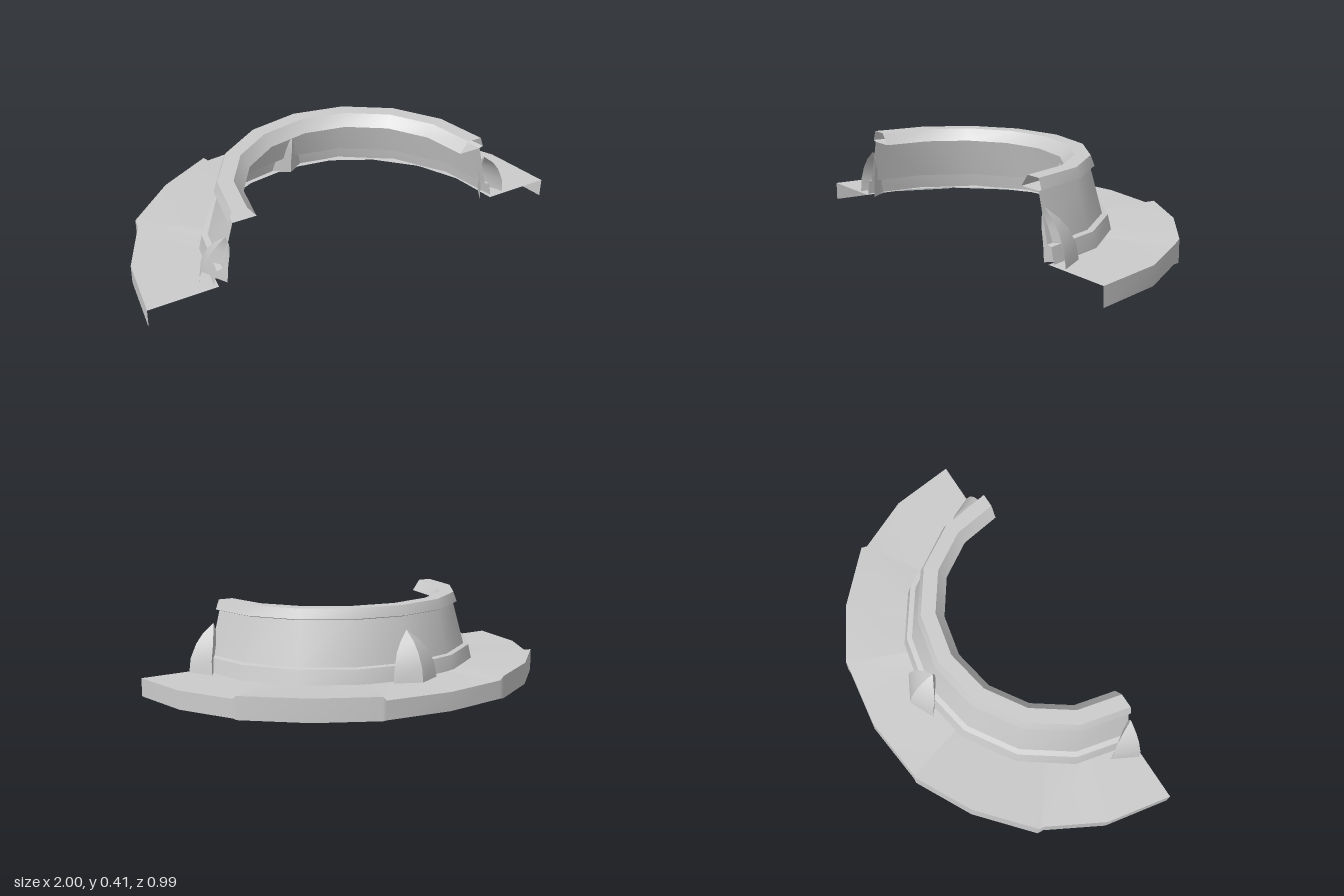
import * as THREE from 'three';

const material = new THREE.MeshStandardMaterial({ color: 0xcccccc, side: THREE.DoubleSide });
const WALL_Z = 0.475; // centre of the wall's half circle
const BASE_Z = 0.49; // centre of the base's half circle

// Point at angle a (degrees, from +x round the back to -x), radius r, sideways offset w
function polar(a, r, y, cz, w = 0) {
  const t = THREE.MathUtils.degToRad(a), c = Math.cos(t), s = Math.sin(t);
  return [r * c - w * s, y, cz - r * s - w * c];
}

// Smooth surface through rows of points; row direction x column direction is the front
function surface(name, rows) {
  const n = rows[0].length, index = [];
  for (let i = 0; i < rows.length - 1; i++) {
    for (let j = 0; j < n - 1; j++) {
      const a = i * n + j, b = a + n;
      index.push(a, b, a + 1, a + 1, b, b + 1);
    }
  }
  const geometry = new THREE.BufferGeometry();
  geometry.setAttribute('position', new THREE.Float32BufferAttribute(rows.flat(2), 3));
  geometry.setIndex(index);
  geometry.computeVertexNormals();
  const mesh = new THREE.Mesh(geometry, material);
  mesh.name = name;
  return mesh;
}

// Half ring swept from a profile of [radius, y], with a crease at every profile point
function halfRing(name, profile) {
  const group = new THREE.Group();
  group.name = name;
  const angles = Array.from({ length: 9 }, (_, i) => i * 22.5);
  const rows = profile.map(([r, y]) => angles.map((a) => polar(a, r, y, WALL_Z)));
  for (let i = 0; i < rows.length - 1; i++) {
    group.add(surface(name + 'Band', [rows[i], rows[i + 1]]));
  }
  return group;
}

// Open-bottomed base: flat top plate and outer skirt, slightly raised on both back quarters
function base() {
  const quarter = [
    [0, 1, 0.085], [18, 1, 0.085], [34.5, 0.997, 0.085], [36, 1.013, 0.104],
    [54, 1, 0.104], [71, 1.008, 0.104], [72, 1, 0.085],
  ];
  const mirrored = quarter.map(([a, r, y]) => [180 - a, r, y]).reverse();
  const rim = [...quarter, [90, 0.99, 0.085], ...mirrored];
  const inner = rim.map(([a]) => polar(a, 0.69, 0.085, BASE_Z));
  const top = rim.map(([a, r, y]) => polar(a, r, y, BASE_Z));
  const bottom = rim.map(([a, r]) => polar(a, r, 0, BASE_Z));
  const group = new THREE.Group();
  group.name = 'base';
  group.add(surface('basePlate', [inner, top]), surface('baseSkirt', [top, bottom]));
  return group;
}

// Pointed fin leaning on the wall; sides picks a whole fin or one half
function fin(name, angle, sides) {
  // y, outer radius, side radius, half width, inner radius
  const sections = [
    [0.305, 0.645, 0.645, 0, 0.645],
    [0.26, 0.70, 0.67, 0.05, 0.63],
    [0.215, 0.735, 0.69, 0.085, 0.63],
    [0.15, 0.765, 0.71, 0.11, 0.64],
    [0.08, 0.775, 0.715, 0.12, 0.645],
  ];
  const group = new THREE.Group();
  group.name = name;
  for (const s of sides) {
    const edge = (r, y, w) => polar(angle, r, y, WALL_Z, w);
    const outerFace = [], innerFace = [];
    for (const [y, ro, rs, w, ri] of sections) {
      const side = edge(rs, y, s * w), outer = edge(ro, y, 0), inner = edge(ri, y, 0);
      outerFace.push(s > 0 ? [outer, side] : [side, outer]);
      innerFace.push(s > 0 ? [side, inner] : [inner, side]);
    }
    group.add(surface('finOuterFace', outerFace), surface('finInnerFace', innerFace));
  }
  return group;
}

export function createModel() {
  const model = new THREE.Group();
  model.name = 'halfRingArena';
  model.add(base());
  // Wall with a low step at its foot
  model.add(halfRing('wall', [[0.612, 0.36], [0.665, 0.157], [0.69, 0.153], [0.705, 0.085]]));
  // Lip along the top of the wall
  model.add(halfRing('lip', [
    [0.612, 0.36], [0.505, 0.36], [0.545, 0.412], [0.613, 0.412], [0.63, 0.366], [0.612, 0.36],
  ]));
  // One whole fin at the back, half fins at both cut ends
  model.add(fin('backFin', 90, [-1, 1]));
  model.add(fin('leftFin', 0, [1]));
  model.add(fin('rightFin', 180, [-1]));
  return model;
}
